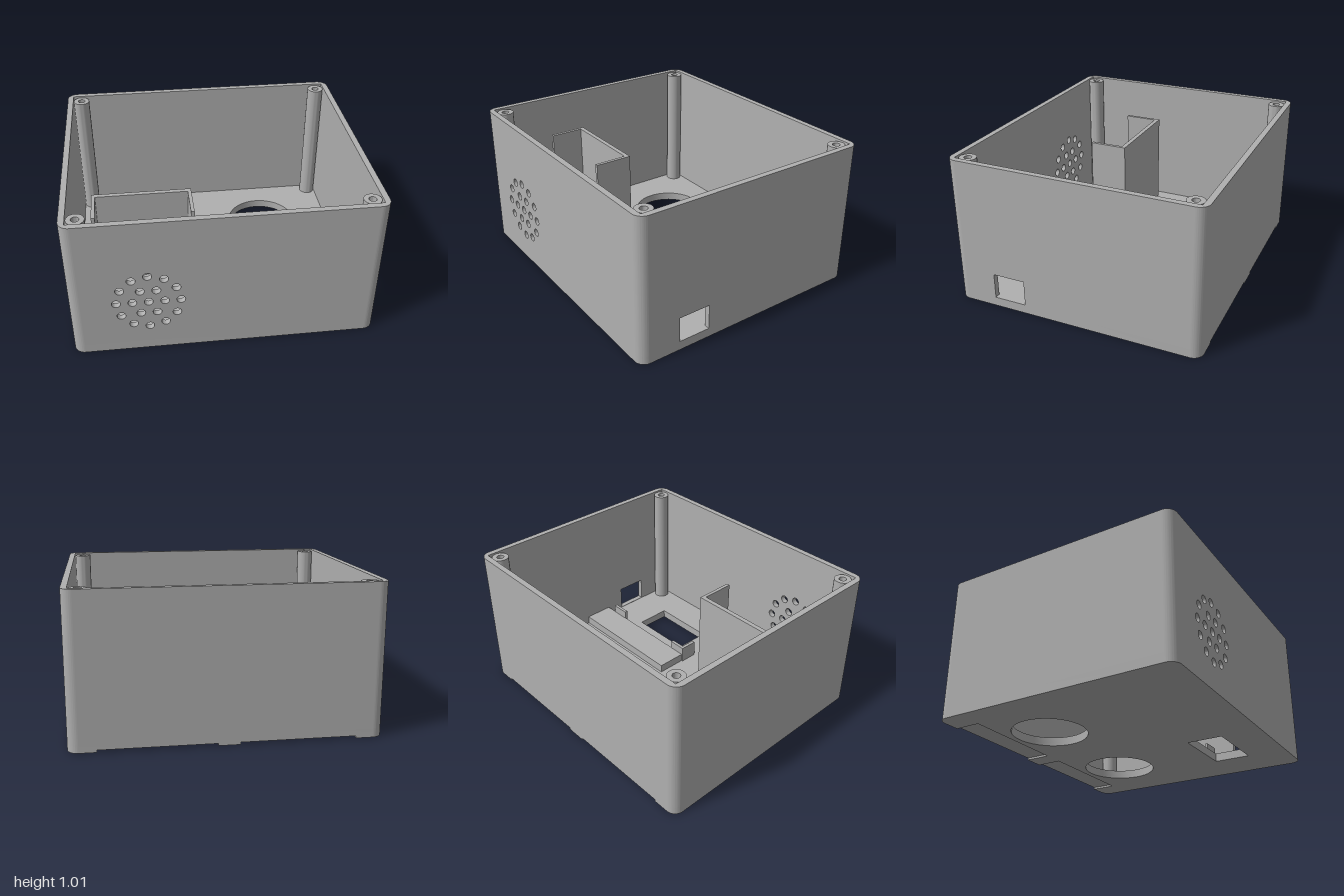
import * as THREE from 'three';
import { toCreasedNormals } from 'three/addons/utils/BufferGeometryUtils.js';

const W = 1, D = 0.86, H = 1.01;      // half width, half depth, height
const T = 0.04, R = 0.07;             // wall thickness, corner radius
const FLOOR = 0.06, NOTCH = 0.015;

export function createModel() {
  const group = new THREE.Group();
  const grey = new THREE.MeshStandardMaterial({ color: 0xb0b0b0 });
  grey.name = 'grey plastic';

  const add = (name, geo) => {
    const mesh = new THREE.Mesh(geo, grey);
    mesh.name = name;
    group.add(mesh);
    return mesh;
  };
  const extrude = (shape, depth) => toCreasedNormals(
    new THREE.ExtrudeGeometry(shape, { depth, bevelEnabled: false, curveSegments: 20 }), 0.5);
  // Shape drawn in x/z, standing between two heights
  const slab = (shape, y0, y1) => extrude(shape, y1 - y0).rotateX(Math.PI / 2).translate(0, y1, 0);
  const box = (name, x0, x1, y0, y1, z0, z1) => add(name,
    new THREE.BoxGeometry(x1 - x0, y1 - y0, z1 - z0)
      .translate((x0 + x1) / 2, (y0 + y1) / 2, (z0 + z1) / 2));
  const polygon = (pts) => new THREE.Shape(pts.map(([x, y]) => new THREE.Vector2(x, y)));
  const rect = (x0, x1, y0, y1) => polygon([[x0, y0], [x1, y0], [x1, y1], [x0, y1]]);
  const circle = (x, y, r) => new THREE.Path().absarc(x, y, r, 0, Math.PI * 2, true);

  // Floor outline with rounded corners and cut-outs; optional notches in the back edge
  const floorShape = (notches) => {
    const s = new THREE.Shape();
    const q = Math.PI / 2;
    s.moveTo(-W + R, -D);
    for (const [x0, x1] of notches) {
      s.lineTo(x0, -D); s.lineTo(x0, -D + 0.18);
      s.lineTo(x1, -D + 0.18); s.lineTo(x1, -D);
    }
    s.lineTo(W - R, -D);
    s.absarc(W - R, -D + R, R, -q, 0, false);
    s.absarc(W - R, D - R, R, 0, q, false);
    s.absarc(-W + R, D - R, R, q, 2 * q, false);
    s.absarc(-W + R, -D + R, R, 2 * q, 3 * q, false);
    s.holes.push(circle(-0.447, -0.38, 0.257), circle(0.443, -0.38, 0.257));
    s.holes.push(rect(0.2, 0.67, 0.325, 0.58));
    return s;
  };
  add('floorUnderside', slab(floorShape([[-0.82, -0.07], [0.07, 0.82]]), 0, NOTCH));
  add('floor', slab(floorShape([]), NOTCH, FLOOR));

  // Front wall with a rosette of round holes
  const front = rect(-W + R, W - R, FLOOR, H);
  for (const [count, radius] of [[1, 0], [6, 0.103], [12, 0.205]]) {
    for (let i = 0; i < count; i++) {
      const a = (i / count) * Math.PI * 2;
      front.holes.push(circle(-0.5 + radius * Math.cos(a), 0.398 + radius * Math.sin(a), 0.028));
    }
  }
  add('frontWall', extrude(front, T).translate(0, 0, D - T));
  box('backWall', -W + R, W - R, FLOOR, H, -D, -D + T);

  // Side walls, the left one with a square port
  const side = rect(-D + R, D - R, FLOOR, H);
  side.holes.push(rect(-0.575, -0.35, 0.063, 0.238));
  add('leftWall', extrude(side, T).rotateY(Math.PI / 2).translate(W - T, 0, 0));
  box('rightWall', -W, -W + T, FLOOR, H, -D + R, D - R);

  // Corners: round outside, square inside; each with a hollow screw post
  const post = new THREE.Shape().absarc(0, 0, 0.057, 0, Math.PI * 2, false);
  post.holes.push(circle(0, 0, 0.025));
  for (const sx of [-1, 1]) {
    for (const sz of [-1, 1]) {
      const corner = new THREE.Shape();
      const cx = sx * (W - R), cz = sz * (D - R);
      const a0 = sx > 0 ? 0 : Math.PI;
      const a1 = sz * Math.PI / 2;
      const end = sx < 0 && sz < 0 ? Math.PI * 1.5 : a1;
      corner.absarc(cx, cz, R, a0, end, end < a0);
      corner.lineTo(cx, sz * (D - T));
      corner.lineTo(sx * (W - T), sz * (D - T));
      corner.lineTo(sx * (W - T), cz);
      add('corner', slab(corner, FLOOR, H));
      add('screwPost', slab(post, FLOOR, H - 0.01)).position.set(sx * 0.9, 0, sz * 0.76);
    }
  }

  // Tall three-sided bracket behind the rosette
  const bracket = polygon([[-0.835, 0.165], [-0.163, 0.165], [-0.163, 0.435], [-0.187, 0.435],
    [-0.187, 0.197], [-0.811, 0.197], [-0.811, 0.435], [-0.835, 0.435]]);
  add('bracket', slab(bracket, FLOOR, 0.765));

  // Low ledge and the clips around the rectangular opening
  box('ledge', 0.062, W - T, FLOOR, 0.12, -0.005, 0.21);
  const clip = 0.18;
  const backClip = polygon([[0.052, 0.207], [0.18, 0.207], [0.18, 0.23],
    [0.075, 0.23], [0.075, 0.335], [0.052, 0.335]]);
  const frontClip = polygon([[0.052, 0.575], [0.075, 0.575], [0.075, 0.678],
    [0.18, 0.678], [0.18, 0.703], [0.052, 0.703]]);
  add('backClip', slab(backClip, FLOOR, clip));
  add('frontClip', slab(frontClip, FLOOR, clip));
  box('tabClip', 0.737, 0.87, FLOOR, clip, 0.207, 0.23);

  return group;
}
